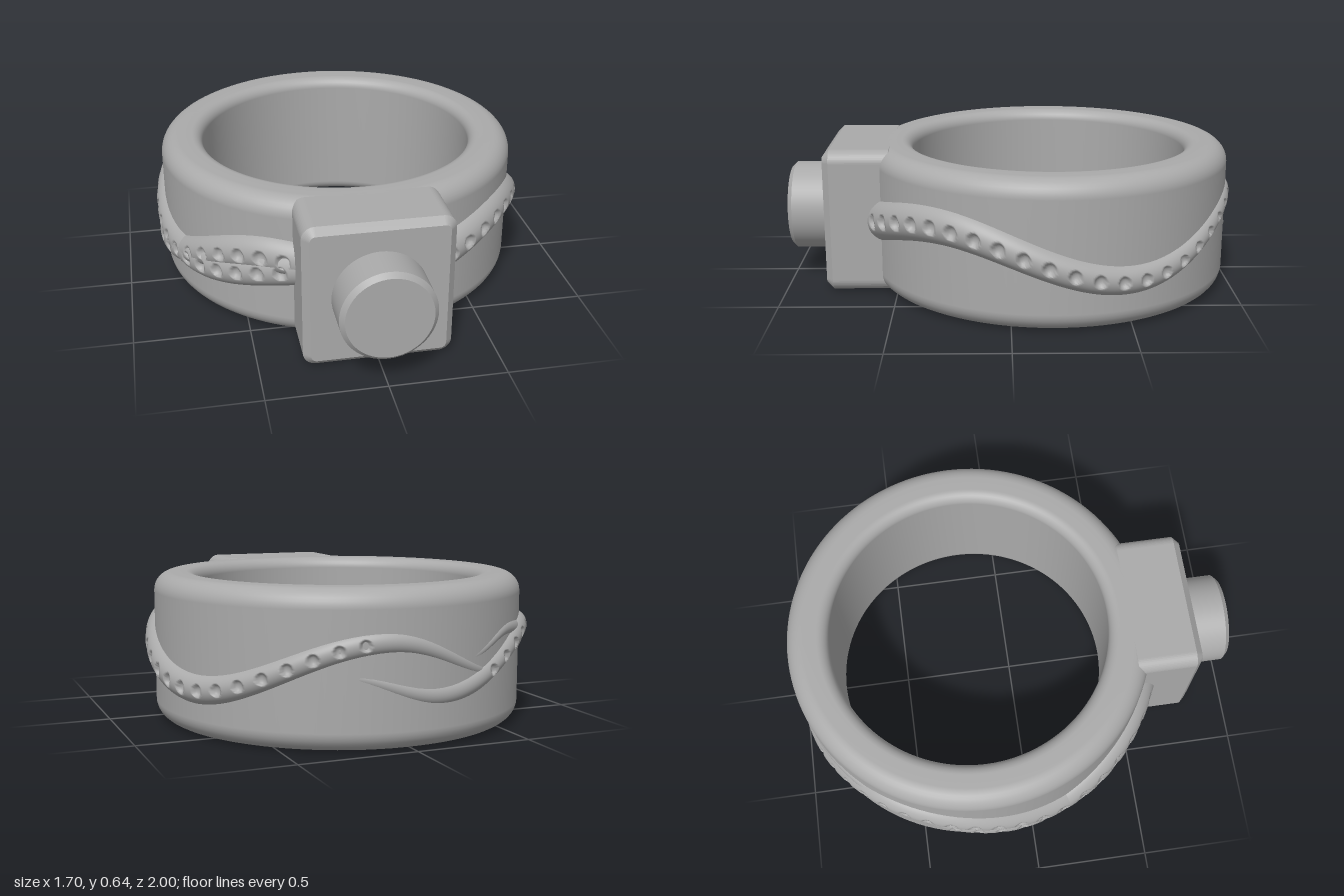
import * as THREE from 'three';

const metal = new THREE.MeshStandardMaterial({ color: 0xaaaaaa });
metal.name = 'grey metal';

const H = 0.64, CENTRE_Z = -0.18, DEG = Math.PI / 180;

function add(parent, name, geometry, x = 0, y = 0, z = 0) {
  const mesh = new THREE.Mesh(geometry, metal);
  mesh.name = name;
  mesh.position.set(x, y, z);
  parent.add(mesh);
  return mesh;
}

// Closed band profile: rounded outer and inner edges
function bandGeometry() {
  const pts = [];
  const corner = (cx, cy, r, from) => {
    for (let i = 0; i <= 8; i++) {
      const a = (from + i * 90 / 8) * DEG;
      pts.push(new THREE.Vector2(cx + r * Math.cos(a), cy + r * Math.sin(a)));
    }
  };
  corner(0.73, 0.08, 0.08, -90);
  corner(0.73, H - 0.08, 0.08, 0);
  corner(0.67, H - 0.05, 0.05, 90);
  corner(0.67, 0.05, 0.05, 180);
  pts.push(pts[0].clone());
  return new THREE.LatheGeometry(pts, 128);
}

// Rounded rectangle block with a chamfered front
function blockGeometry() {
  const b = 0.03, w = 0.315 - b, h = H / 2 - b, r = 0.025;
  const s = new THREE.Shape();
  s.moveTo(-w + r, -h);
  s.absarc(w - r, -h + r, r, -Math.PI / 2, 0);
  s.absarc(w - r, h - r, r, 0, Math.PI / 2);
  s.absarc(-w + r, h - r, r, Math.PI / 2, Math.PI);
  s.absarc(-w + r, -h + r, r, Math.PI, Math.PI * 1.5);
  return new THREE.ExtrudeGeometry(s, {
    depth: 0.26, bevelEnabled: true, bevelSize: b, bevelThickness: b, bevelSegments: 1, curveSegments: 6,
  });
}

// Keys are [angle, height, tube radius, outermost radius], eased between
function sample(keys, angle) {
  let i = 0;
  while (i < keys.length - 2 && angle > keys[i + 1][0]) i++;
  const a = keys[i], b = keys[i + 1];
  const t = THREE.MathUtils.clamp((angle - a[0]) / (b[0] - a[0]), 0, 1);
  const e = (1 - Math.cos(Math.PI * t)) / 2;
  return { y: a[1] + (b[1] - a[1]) * e, r: a[2] + (b[2] - a[2]) * t, top: a[3] + (b[3] - a[3]) * t };
}

// Outer half of a wavy tube, pressed in where the round sockets lie
function vineGeometry(keys, firstHole, holes) {
  const STEP = 7, cols = 40;
  const start = keys[0][0], end = keys[keys.length - 1][0];
  const rows = Math.round((end - start) * 2.2);
  const pos = [], index = [];
  for (let i = 0; i <= rows; i++) {
    const angle = start + (end - start) * i / rows;
    const p = sample(keys, angle);
    const k = THREE.MathUtils.clamp(Math.round((angle - firstHole) / STEP), 0, holes - 1);
    const holeAngle = firstHole + k * STEP;
    const hole = sample(keys, holeAngle);
    const holeR = 0.014 + hole.r * 0.17;
    for (let j = 0; j <= cols; j++) {
      const phi = (j / cols * 2 - 1) * 100 * DEG;
      const along = (angle - holeAngle) * DEG * 0.84;
      const across = p.y + p.r * Math.sin(phi) - hole.y;
      const d = Math.hypot(along, across) / holeR;
      const dent = d < 1 && Math.abs(phi) < 1.4 ? holeR * 0.95 * Math.sqrt(1 - d * d) : 0;
      const R = p.top - p.r + p.r * Math.cos(phi) - dent;
      pos.push(R * Math.sin(angle * DEG), p.y + p.r * Math.sin(phi), R * Math.cos(angle * DEG));
      if (i < rows && j < cols) {
        const a = i * (cols + 1) + j, b = a + cols + 1;
        index.push(a, b, a + 1, b, b + 1, a + 1);
      }
    }
  }
  const g = new THREE.BufferGeometry();
  g.setAttribute('position', new THREE.Float32BufferAttribute(pos, 3));
  g.setIndex(index);
  g.computeVertexNormals();
  return g;
}

export function createModel() {
  const model = new THREE.Group();
  model.name = 'ring';

  add(model, 'band', bandGeometry(), 0, 0, CENTRE_Z);

  // Front block and round stud
  add(model, 'frontBlock', blockGeometry(), 0, H / 2, 0.53);
  const stud = new THREE.Group();
  stud.name = 'stud';
  model.add(stud);
  add(stud, 'studBody', new THREE.CylinderGeometry(0.2, 0.2, 0.18, 64, 1, true), 0, H / 2, 0.89).rotation.x = Math.PI / 2;
  add(stud, 'studTip', new THREE.CylinderGeometry(0.18, 0.2, 0.02, 64), 0, H / 2, 0.99).rotation.x = Math.PI / 2;

  // Three vines winding round the band, fading into it at the back
  const vines = [
    ['leftVine', [[5, 0.30, 0.105, 0.87], [54, 0.41, 0.088, 0.855], [113, 0.21, 0.065, 0.85],
      [172, 0.43, 0.05, 0.825], [212, 0.27, 0.03, 0.808]], 25, 21],
    ['lowerRightVine', [[158, 0.30, 0.03, 0.808], [188, 0.21, 0.05, 0.82], [238, 0.41, 0.06, 0.845],
      [297, 0.235, 0.085, 0.855], [352, 0.35, 0.09, 0.865]], 208, 19],
    ['upperRightVine', [[196, 0.34, 0.03, 0.808], [219, 0.43, 0.035, 0.818], [278, 0.20, 0.07, 0.85],
      [330, 0.38, 0.092, 0.86], [358, 0.34, 0.095, 0.865]], 251, 13],
  ];
  for (const [name, keys, firstHole, holes] of vines) {
    add(model, name, vineGeometry(keys, firstHole, holes), 0, 0, CENTRE_Z);
  }
  return model;
}
